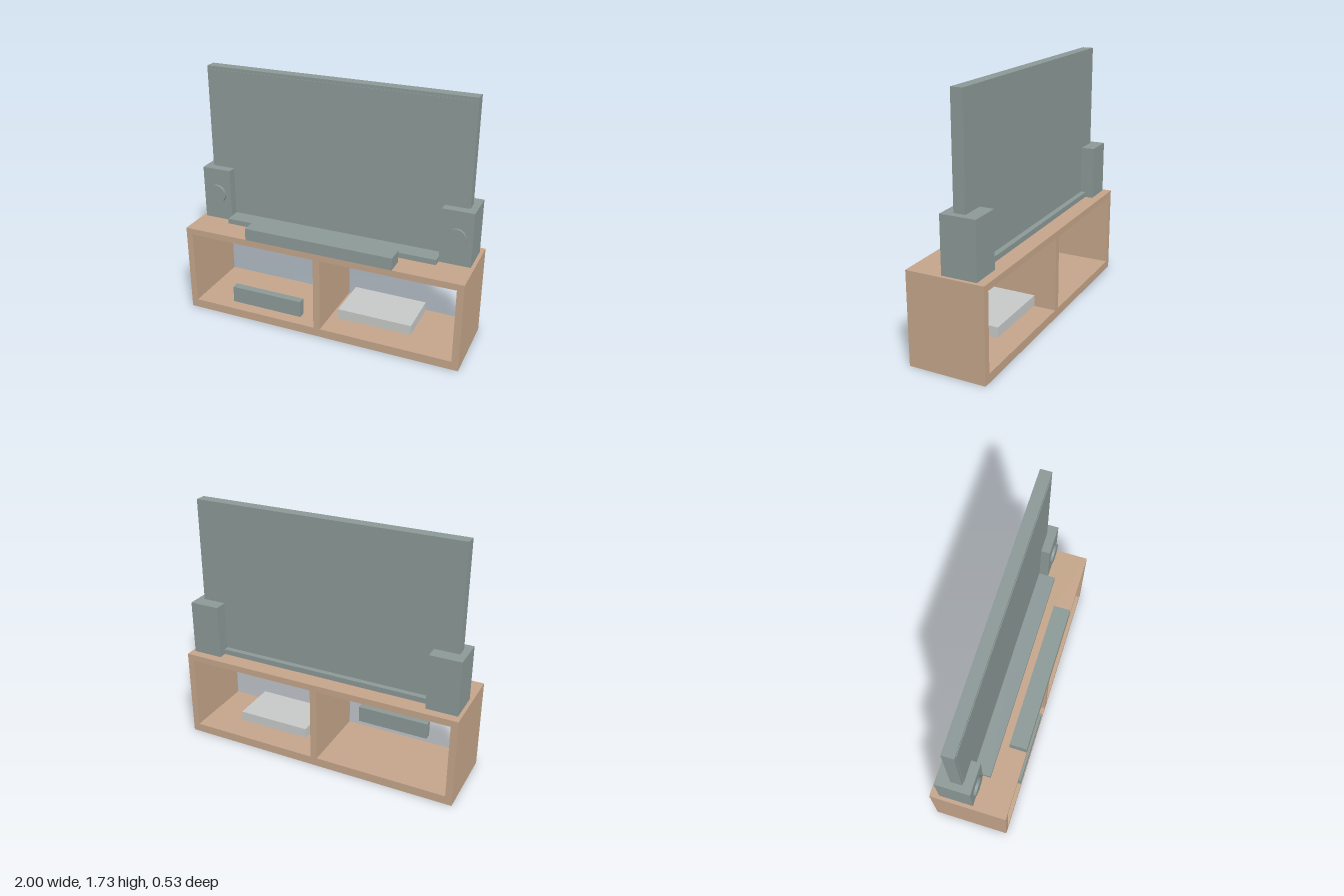
import * as THREE from 'three';

const material = (name, color) => {
  const m = new THREE.MeshStandardMaterial({ color });
  m.name = name;
  return m;
};

export function createModel() {
  const root = new THREE.Group();
  root.name = 'mediaUnit';
  const wood = material('wood', 0xc4a58a);
  const grey = material('slateGrey', 0x8b9997);
  const pale = material('paleGrey', 0xc6c9c7);

  // Box given by its extents along each axis
  const box = (name, mat, [x0, x1], [y0, y1], [z0, z1], parent = root) => {
    const mesh = new THREE.Mesh(new THREE.BoxGeometry(x1 - x0, y1 - y0, z1 - z0), mat);
    mesh.position.set((x0 + x1) / 2, (y0 + y1) / 2, (z0 + z1) / 2);
    mesh.name = name;
    parent.add(mesh);
    return mesh;
  };

  // Open-backed cabinet: one frame outline with two openings, extruded through
  const W = 1, H = 0.635, D = 0.265;
  const rect = (Type, x0, x1, y0, y1) => new Type([
    new THREE.Vector2(x0, y0), new THREE.Vector2(x1, y0),
    new THREE.Vector2(x1, y1), new THREE.Vector2(x0, y1),
  ]);
  const frame = rect(THREE.Shape, -W, W, 0, H);
  frame.holes.push(
    rect(THREE.Path, -0.953, -0.024, 0.061, 0.59),
    rect(THREE.Path, 0.024, 0.953, 0.061, 0.59),
  );
  const cabinetGeometry = new THREE.ExtrudeGeometry(frame, { depth: 2 * D, bevelEnabled: false });
  cabinetGeometry.translate(0, 0, -D);
  const cabinet = new THREE.Mesh(cabinetGeometry, wood);
  cabinet.name = 'cabinet';
  root.add(cabinet);

  // Television with its thin screen and flat base
  const television = new THREE.Group();
  television.name = 'television';
  root.add(television);
  box('televisionBase', grey, [-0.763, 0.763], [H, 0.672], [-0.15, 0.086], television);
  box('televisionBody', grey, [-0.93, 0.93], [0.672, 1.73], [-0.112, -0.034], television);
  box('screen', grey, [-0.91, 0.91], [0.692, 1.71], [-0.034, -0.03], television);

  // Sound bar on the front edge of the top
  box('soundBar', grey, [-0.527, 0.527], [H, 0.72], [0.145, D]);

  // A speaker at each end, with a round driver
  for (const side of [-1, 1]) {
    const speaker = new THREE.Group();
    speaker.name = side > 0 ? 'leftSpeaker' : 'rightSpeaker';
    speaker.position.x = side * 0.87;
    root.add(speaker);
    box('speakerBox', grey, [-0.106, 0.106], [H, 1.013], [-0.205, 0.032], speaker);
    const driver = new THREE.Mesh(new THREE.CylinderGeometry(0.067, 0.067, 0.02, 32), grey);
    driver.rotation.x = Math.PI / 2;
    driver.position.set(0, 0.827, 0.04);
    driver.name = 'speakerDriver';
    speaker.add(driver);
  }

  // Devices inside the two compartments
  box('centreSpeaker', grey, [-0.645, -0.122], [0.122, 0.24], [0.213, D]);
  box('player', pale, [0.12, 0.643], [0.122, 0.192], [-0.155, 0.17]);

  return root;
}
